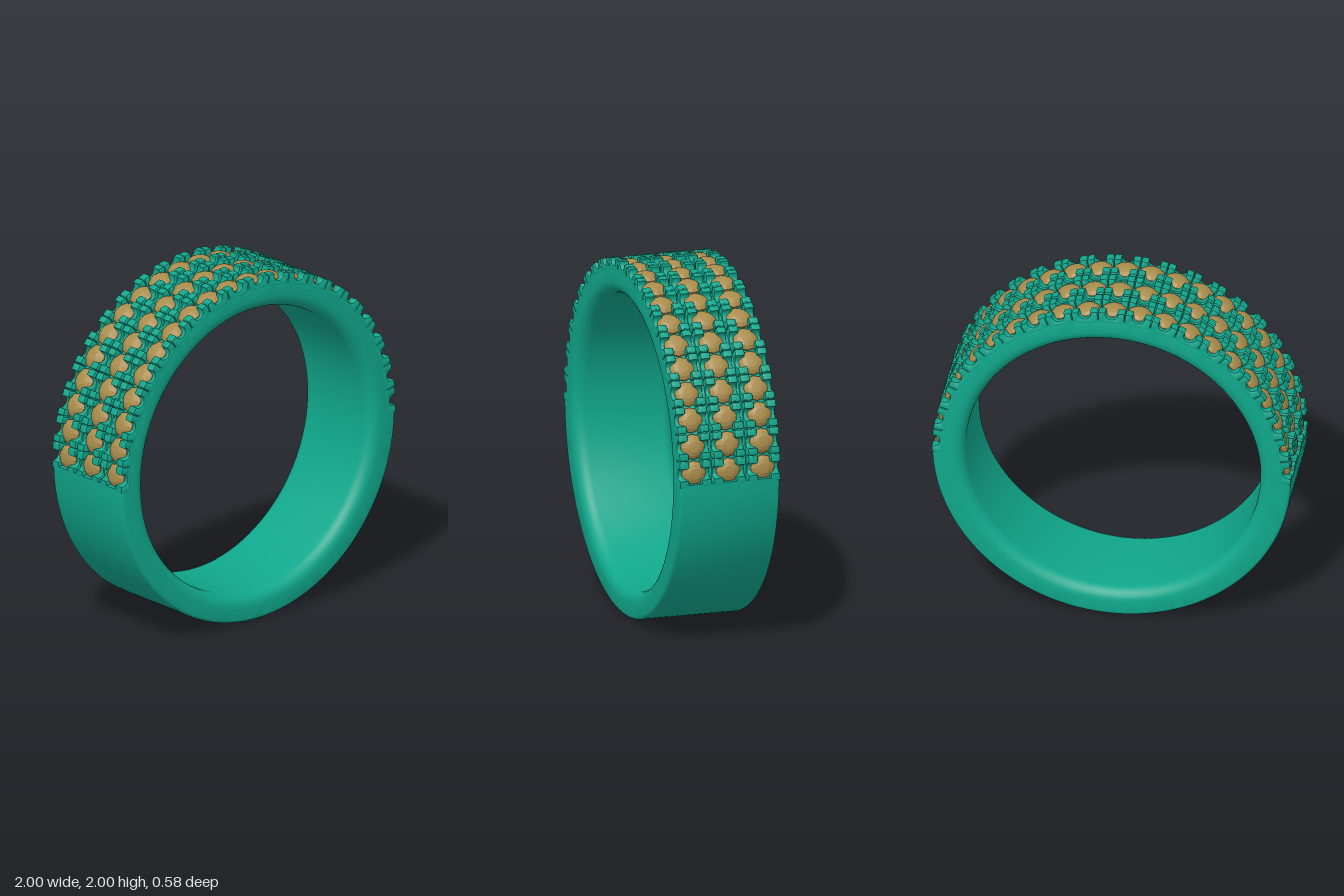
import * as THREE from 'three';
import { toCreasedNormals } from 'three/addons/utils/BufferGeometryUtils.js';

const HALF_WIDTH = 0.29;
const PITCH = THREE.MathUtils.degToRad(8.75);
const STONES = 21;
const ROWS = [-0.2, 0, 0.2];
const green = new THREE.MeshStandardMaterial({ color: 0x10a78c, side: THREE.DoubleSide });
const gold = new THREE.MeshStandardMaterial({ color: 0xa98c4c, flatShading: true });

// Radius of the finger hole, whose centre sits slightly below the outer circle's.
function holeRadius(a) {
  const c = -0.022, R = 0.822;
  return c * Math.sin(a) + Math.sqrt(R * R - (c * Math.cos(a)) ** 2);
}

// Band cross-section as [radius, z], with rounded edges, widely rounded inside.
function section(a, outer, edge) {
  const inner = holeRadius(a);
  const corners = [
    [outer - edge, -HALF_WIDTH + edge, edge, edge, -90],
    [outer - edge, HALF_WIDTH - edge, edge, edge, 0],
    [inner + 0.07, HALF_WIDTH - 0.07, 0.07, 0.07, 90],
    [inner + 0.07, -HALF_WIDTH + 0.07, 0.07, 0.07, 180],
  ];
  const pts = [];
  for (const [r, z, rr, rz, start] of corners) {
    for (let i = 0; i <= 6; i++) {
      const t = THREE.MathUtils.degToRad(start + i * 15);
      pts.push([r + rr * Math.cos(t), z + rz * Math.sin(t)]);
    }
  }
  return pts;
}

// Sweeps the cross-section round an arc and closes both ends.
function bandArc(from, to, outer, edge) {
  const steps = 80, pos = [], idx = [];
  let n = 0;
  for (let i = 0; i <= steps; i++) {
    const a = from + (to - from) * i / steps;
    const s = section(a, outer, edge);
    n = s.length;
    for (const [r, z] of s) pos.push(r * Math.cos(a), r * Math.sin(a), z);
  }
  for (let i = 0; i < steps; i++) {
    for (let j = 0; j < n; j++) {
      const k = (j + 1) % n;
      const A = i * n + j, B = A + n, C = (i + 1) * n + k, D = i * n + k;
      idx.push(A, B, C, A, C, D);
    }
  }
  for (const [a, base, flip] of [[from, 0, false], [to, steps * n, true]]) {
    const mid = pos.length / 3, r = (outer + holeRadius(a)) / 2;
    pos.push(r * Math.cos(a), r * Math.sin(a), 0);
    for (let j = 0; j < n; j++) {
      const p = base + j, q = base + (j + 1) % n;
      idx.push(...(flip ? [q, p, mid] : [p, q, mid]));
    }
  }
  const g = new THREE.BufferGeometry();
  g.setAttribute('position', new THREE.Float32BufferAttribute(pos, 3));
  g.setIndex(idx);
  return toCreasedNormals(g, 0.5);
}

// Pair of prongs joined by a scalloped wall; x is along the band, y is the radius.
function prongGeometry() {
  const top = 0.999, bottom = 0.93, notch = 0.034, round = 0.012;
  const half = (r) => r * Math.tan(PITCH / 2) - 0.002;
  const s = new THREE.Shape();
  s.moveTo(-half(bottom), bottom);
  s.lineTo(half(bottom), bottom);
  s.lineTo(half(top - round), top - round);
  s.quadraticCurveTo(half(top), top, half(top) - round, top);
  s.lineTo(notch, top);
  s.lineTo(notch, top - 0.008);
  s.absarc(0, top - 0.008, notch, 0, Math.PI, true);
  s.lineTo(-notch, top);
  s.lineTo(-half(top) + round, top);
  s.quadraticCurveTo(-half(top), top, -half(top - round), top - round);
  s.closePath();
  const bevel = 0.008;
  const g = new THREE.ExtrudeGeometry(s, {
    depth: 0.055 - 2 * bevel, curveSegments: 6,
    bevelThickness: bevel, bevelSize: 0.005, bevelOffset: -0.005, bevelSegments: 2,
  });
  g.translate(0, 0, bevel - 0.0275);
  return toCreasedNormals(g, 0.6);
}

// Faceted round stone with a flat table, axis along y.
function stoneGeometry() {
  const profile = [[0, -0.05], [0.07, -0.012], [0.07, -0.002], [0.052, 0.014], [0.03, 0.023], [0, 0.025]];
  const g = new THREE.LatheGeometry(profile.map(([x, y]) => new THREE.Vector2(x, y)), 12);
  g.translate(0, 0.965, 0);
  return g;
}

export function createModel() {
  const ring = new THREE.Group();
  ring.name = 'ring';
  const add = (parent, name, geometry, material, z = 0) => {
    const m = new THREE.Mesh(geometry, material);
    m.name = name;
    m.position.z = z;
    parent.add(m);
  };

  // Plain lower shank and the recessed bed under the stones
  const lip = 0.014;
  add(ring, 'shank', bandArc(Math.PI + lip, 2 * Math.PI - lip, 1, 0.02), green);
  add(ring, 'stoneBed', bandArc(-lip, Math.PI + lip, 0.95, 0.004), green);

  // Three rows of stones, each stone held by four prongs
  const prong = prongGeometry(), stone = stoneGeometry();
  for (let i = 0; i < STONES; i++) {
    const setting = new THREE.Group();
    setting.name = 'setting';
    setting.rotation.z = (i - (STONES - 1) / 2) * PITCH;
    for (const z of ROWS) {
      add(setting, 'stone', stone, gold, z);
      for (const side of [-1, 1]) add(setting, 'prongs', prong, green, z + side * 0.0645);
    }
    ring.add(setting);
  }

  ring.position.y = 1;
  const model = new THREE.Group();
  model.name = 'stoneSetRing';
  model.add(ring);
  return model;
}
